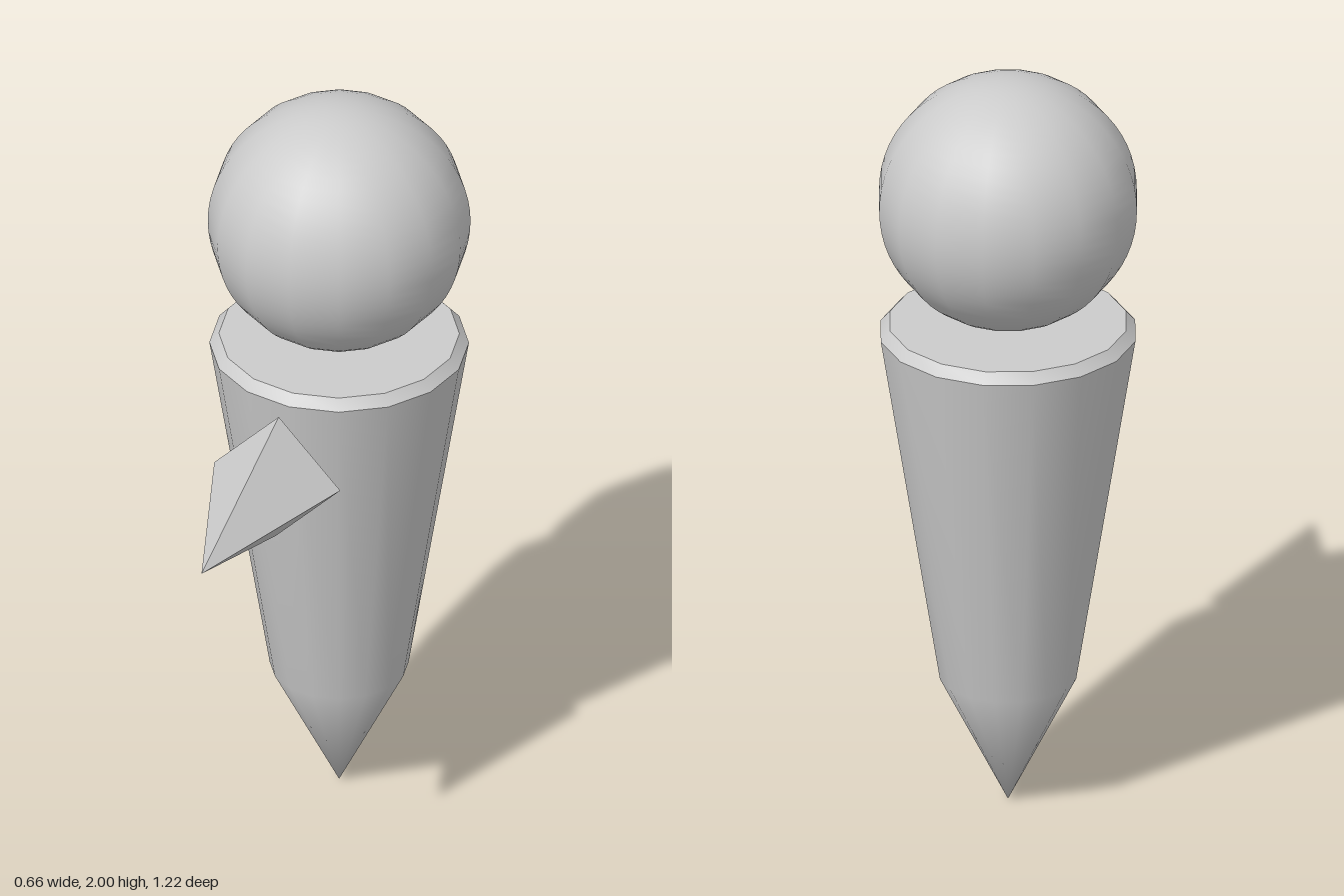
import * as THREE from 'three';
import { mergeVertices } from 'three/addons/utils/BufferGeometryUtils.js';

const SIDES = 16;
const CENTRE_Z = -0.28;

// Revolve [radius, height] points and weld the seam and the tip for smooth normals
function revolve(profile) {
  const lathe = new THREE.LatheGeometry(profile.map(([r, y]) => new THREE.Vector2(r, y)), SIDES);
  lathe.deleteAttribute('normal');
  lathe.deleteAttribute('uv');
  const welded = mergeVertices(lathe, 1e-4);
  welded.computeVertexNormals();
  return welded;
}

export function createModel() {
  const model = new THREE.Group();
  model.name = 'figure';
  const smooth = new THREE.MeshStandardMaterial({ color: 0xcccccc });
  const faceted = new THREE.MeshStandardMaterial({ color: 0xcccccc, flatShading: true });

  const add = (name, geometry, material, parent = model) => {
    const mesh = new THREE.Mesh(geometry, material);
    mesh.name = name;
    parent.add(mesh);
    return mesh;
  };

  // Tapered body ending in a point, with a sharp bevelled rim and a flat top
  const body = new THREE.Group();
  body.name = 'body';
  body.position.z = CENTRE_Z;
  model.add(body);
  add('bodyTaper', revolve([[0, 0], [0.175, 0.35], [0.327, 1.305]]), smooth, body);
  add('bodyRim', revolve([[0.327, 1.305], [0.303, 1.332]]), smooth, body);
  add('bodyTop', revolve([[0.303, 1.332], [0, 1.332]]), smooth, body);

  // Round head hovering just above the body
  const head = add('head', new THREE.SphereGeometry(0.331, SIDES, 32), smooth);
  head.position.set(0, 1.669, CENTRE_Z);

  // Four-sided pointer in front, its base leaning slightly back at the top
  const pointer = new THREE.ConeGeometry(0.172, 0.494, 4);
  pointer.rotateX(Math.PI / 2);
  const p = pointer.attributes.position;
  for (let i = 0; i < p.count; i++) p.setZ(i, p.getZ(i) - 0.055 * p.getY(i));
  add('pointer', pointer, faceted).position.set(-0.003, 1.137, 0.363);

  return model;
}
